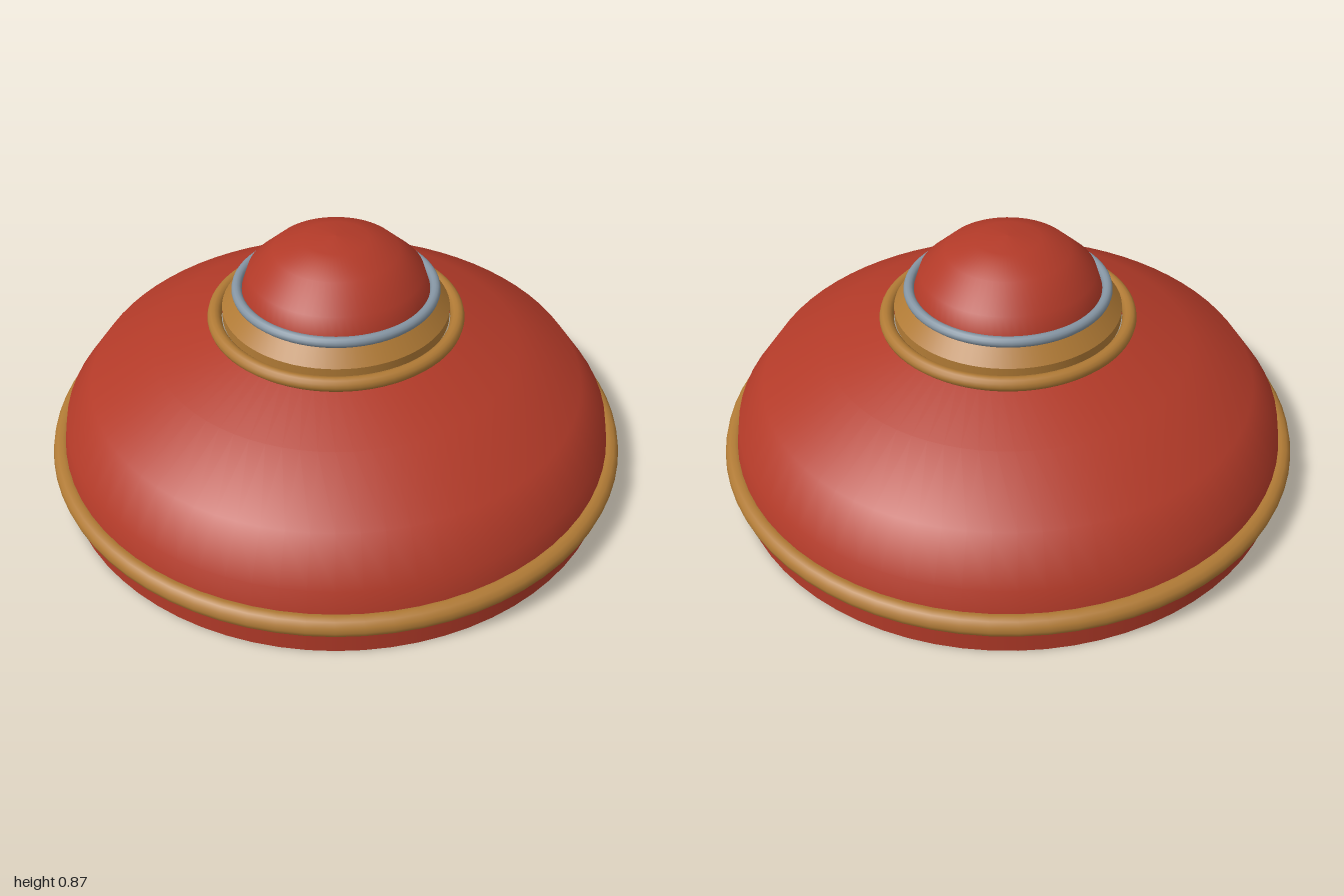
import * as THREE from 'three';

const SEGMENTS = 72;

function material(name, color, side = THREE.FrontSide) {
  const m = new THREE.MeshStandardMaterial({ color, side });
  m.name = name;
  return m;
}

export function createModel() {
  const model = new THREE.Group();
  model.name = 'domedLid';

  const red = material('red enamel', 0xb23a28, THREE.DoubleSide);
  const gold = material('gold', 0xb07a35, THREE.DoubleSide);
  const steel = material('blue grey steel', 0x8595a3);

  const add = (name, geometry, mat, y = 0) => {
    const mesh = new THREE.Mesh(geometry, mat);
    mesh.name = name;
    mesh.position.y = y;
    model.add(mesh);
  };
  // Open surface of revolution; profile runs from bottom to top
  const turned = (name, profile, mat) =>
    add(name, new THREE.LatheGeometry(profile.map(([r, y]) => new THREE.Vector2(r, y)), SEGMENTS), mat);
  // Horizontal round moulding
  const ring = (name, radius, tube, y, mat) =>
    add(name, new THREE.TorusGeometry(radius, tube, 12, SEGMENTS).rotateX(-Math.PI / 2), mat, y);

  // Hollow body: straight skirt and curved shell, open below and at the neck
  turned('skirt', [[0.965, 0], [0.965, 0.12]], red);
  turned('shell', [[0.96, 0.12], [0.94, 0.23], [0.842, 0.364], [0.62, 0.482], [0.4, 0.555]], red);
  ring('rimRing', 0.965, 0.035, 0.117, gold);

  // Stepped neck
  ring('neckRing', 0.409, 0.024, 0.575, gold);
  turned('neckBase', [[0.382, 0.575], [0.382, 0.612]], gold);
  turned('neckTaper', [[0.382, 0.612], [0.33, 0.672]], gold);
  ring('capRing', 0.33, 0.0175, 0.677, steel);

  // Cap
  turned('cap', [[0.315, 0.672], [0.292, 0.742], [0.207, 0.818], [0.107, 0.857], [0, 0.866]], red);

  return model;
}
